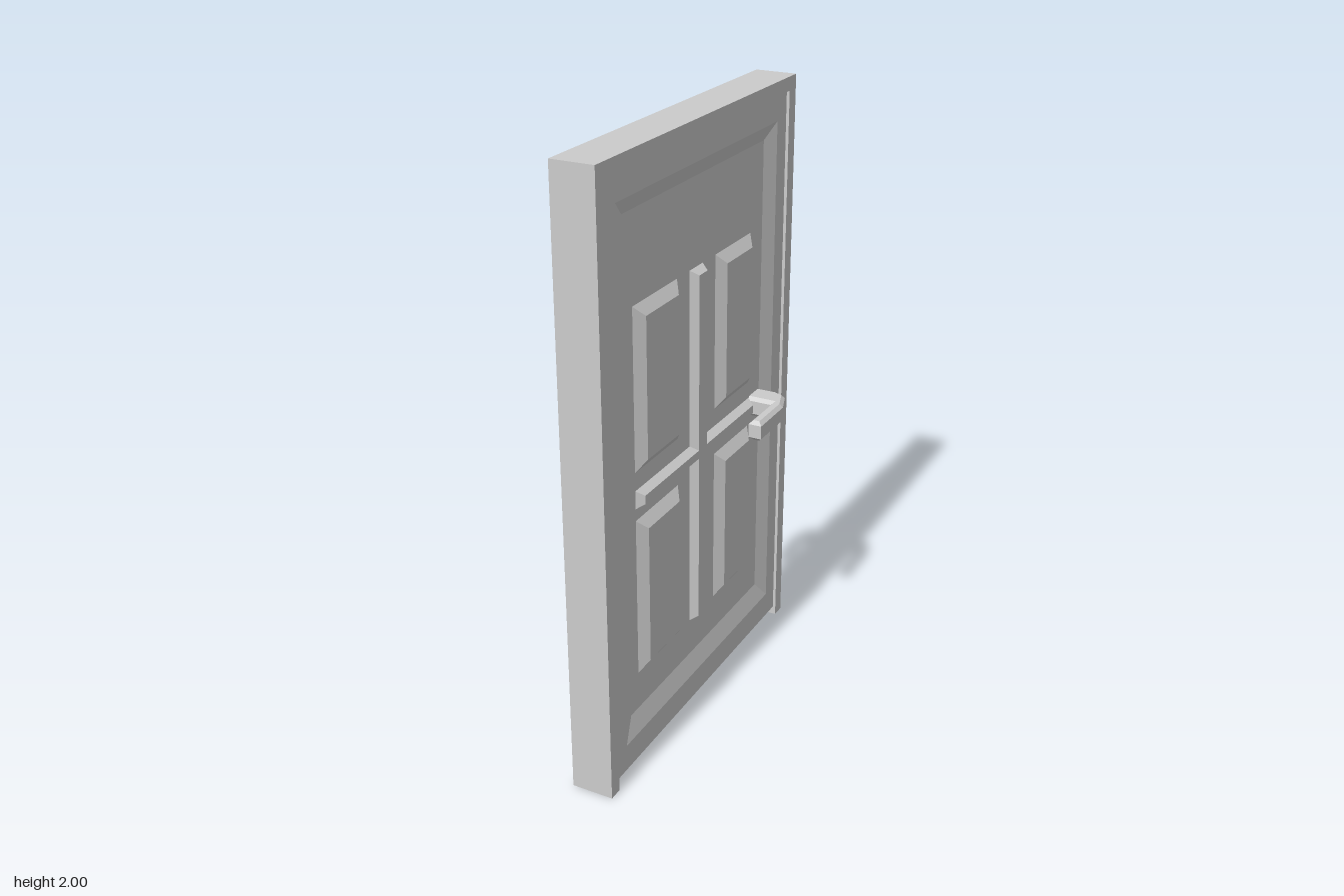
import * as THREE from 'three';

const material = new THREE.MeshStandardMaterial({ color: 0xcccccc, flatShading: true });

function addMesh(parent, name, geometry) {
  const mesh = new THREE.Mesh(geometry, material);
  mesh.name = name;
  parent.add(mesh);
  return mesh;
}

// Surface through rectangular loops [zMin, zMax, yMin, yMax, x], capped at the last;
// side = -1 mirrors it to the other face of the door
function steppedPanel(loops, side) {
  const positions = [], index = [];
  const quad = (a, b, c, d) =>
    side > 0 ? index.push(a, b, c, a, c, d) : index.push(a, c, b, a, d, c);
  loops.forEach(([z0, z1, y0, y1, x], k) => {
    for (const [z, y] of [[z1, y0], [z0, y0], [z0, y1], [z1, y1]]) positions.push(side * x, y, z);
    if (k === 0) return;
    const a = (k - 1) * 4, b = k * 4;
    for (let i = 0; i < 4; i++) {
      const j = (i + 1) % 4;
      quad(a + i, a + j, b + j, b + i);
    }
  });
  const last = (loops.length - 1) * 4;
  quad(last, last + 1, last + 2, last + 3);
  const indexed = new THREE.BufferGeometry();
  indexed.setAttribute('position', new THREE.Float32BufferAttribute(positions, 3));
  indexed.setIndex(index);
  const geometry = indexed.toNonIndexed();
  geometry.computeVertexNormals();
  return geometry;
}

// Raised rectangle with sloping edges
function raised(z0, z1, y0, y1, inset, base, top, side) {
  return steppedPanel([
    [z0, z1, y0, y1, base],
    [z0 + inset, z1 - inset, y0 + inset, y1 - inset, top],
  ], side);
}

function frameGeometry() {
  const shape = new THREE.Shape([
    [-0.625, 0], [-0.578, 0], [-0.578, 1.955], [0.578, 1.955],
    [0.578, 0], [0.625, 0], [0.625, 2], [-0.625, 2],
  ].map(([u, v]) => new THREE.Vector2(u, v)));
  const geometry = new THREE.ExtrudeGeometry(shape, { depth: 0.14, bevelEnabled: false });
  return geometry.rotateY(Math.PI / 2).translate(-0.085, 0, 0);
}

// Bent lever, outlined from above and chamfered along its edges
function handleGeometry(side) {
  const outline = [
    [0.01, 0.455], [0.095, 0.455], [0.13, 0.44], [0.157, 0.365],
    [0.157, 0.195], [0.112, 0.195], [0.112, 0.365], [0.01, 0.365],
  ];
  const shape = new THREE.Shape(outline.map(([x, u]) => new THREE.Vector2(side * x, u)));
  const bevel = 0.012;
  const geometry = new THREE.ExtrudeGeometry(shape, {
    depth: 0.07 - 2 * bevel, bevelEnabled: true, bevelSegments: 1,
    bevelThickness: bevel, bevelSize: bevel, bevelOffset: -bevel,
  });
  return geometry.rotateX(-Math.PI / 2).translate(0, 0.895 + bevel, 0);
}

export function createModel() {
  const model = new THREE.Group();
  model.name = 'door';
  addMesh(model, 'frame', frameGeometry());

  const face = 0.045, floor = 0.027, top = 0.052;
  for (const side of [1, -1]) {
    const half = new THREE.Group();
    half.name = side > 0 ? 'leftFace' : 'rightFace';
    model.add(half);

    // Door leaf with a wide, shallow sunken field
    addMesh(half, 'leaf', steppedPanel([
      [-0.578, 0.578, 0.03, 1.955, 0],
      [-0.578, 0.578, 0.03, 1.955, face],
      [-0.512, 0.512, 0.12, 1.87, face],
      [-0.45, 0.45, 0.19, 1.82, floor],
    ], side));

    // Four raised panels
    for (const [z0, z1] of [[0.135, 0.4], [-0.362, -0.115]]) {
      for (const [y0, y1] of [[0.32, 0.86], [1.02, 1.54]]) {
        addMesh(half, 'raisedPanel', raised(z0, z1, y0, y1, 0.035, floor, top, side));
      }
    }

    // Crossing bars between the panels
    addMesh(half, 'uprightBar', raised(-0.03, 0.055, 0.32, 1.54, 0.016, floor, top, side));
    addMesh(half, 'crossBar', raised(-0.37, 0.4, 0.9, 0.96, 0.016, floor, top, side));

    addMesh(half, 'handle', handleGeometry(side));
  }
  return model;
}
